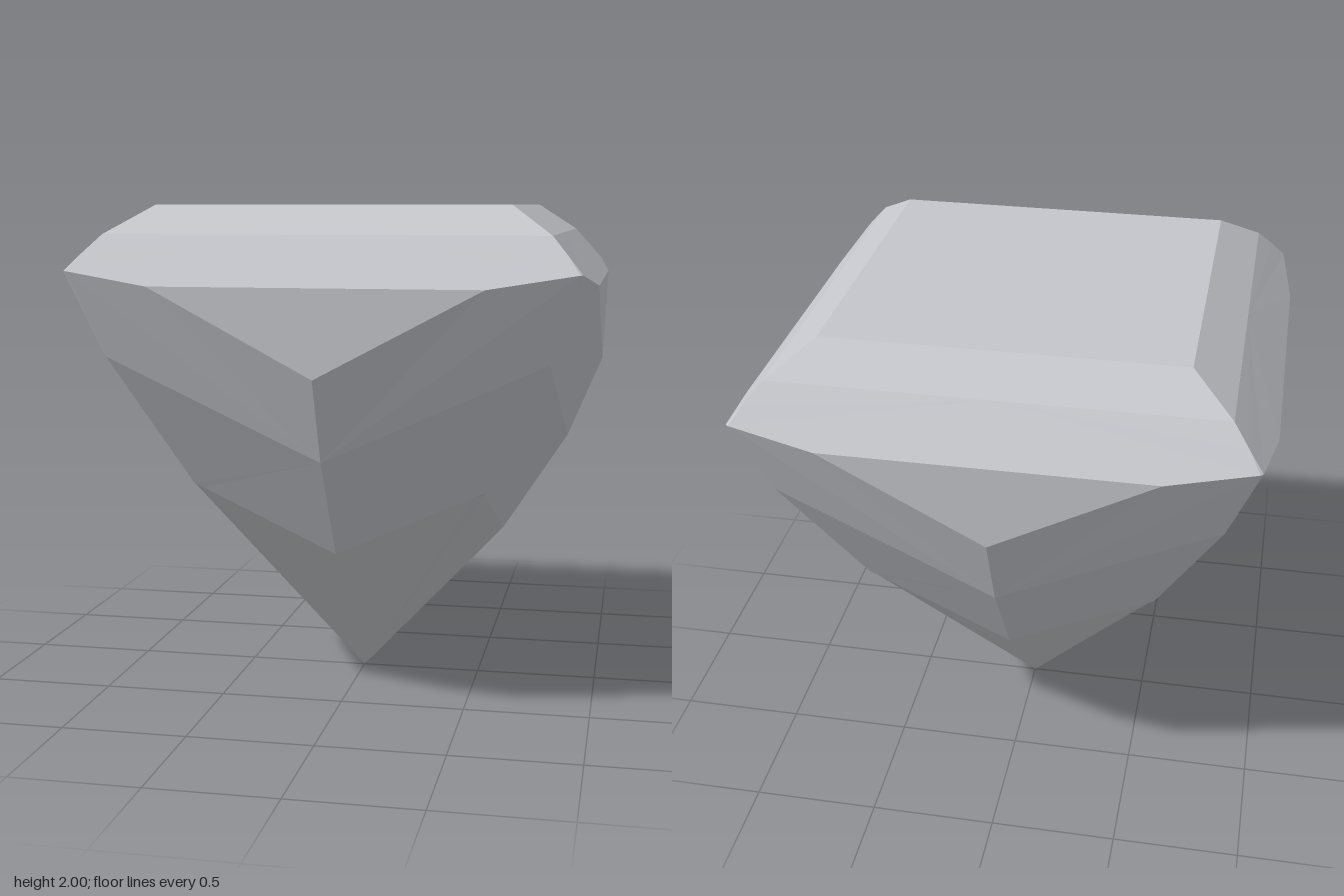
import * as THREE from 'three';

// Corner points of one eighth of the stone (x >= 0, facing +z)
const P = {
  tableCentre: [0, 2, 0], tableMid: [0, 2, 0.68], tableCorner: [0.68, 2, 0.68],
  breakMid: [0, 1.89, 0.84], breakCorner: [0.84, 1.89, 0.84],
  crownTip: [0.9, 1.821, 0.9],
  girdleMid: [0, 1.705, 1], girdle: [0.62, 1.705, 1],
  girdleTip: [0.945, 1.756, 0.955], cornerMid: [0.95, 1.756, 0.95],
  ridge1: [0, 1.375, 1], ridge2: [0, 1.05, 0.865], ridge3: [0, 0.64, 0.6],
  corner2: [0.84, 1.43, 0.84], corner3: [0.58, 0.9, 0.58],
  sliver: [0.545, 0.885, 0.581], sliverMid: [0.563, 0.885, 0.563],
  culet: [0, 0, 0],
};

// Facets as counter-clockwise point names
const PARTS = {
  table: ['tableCentre tableMid tableCorner'],
  crown: [
    'tableMid breakMid breakCorner tableCorner',
    'breakMid girdleMid girdle girdleTip crownTip breakCorner',
    'crownTip girdleTip cornerMid',
  ],
  girdleFacets: ['girdleMid ridge1 girdle'],
  pavilion: [
    'ridge2 corner2 girdleTip girdle ridge1',
    'girdleTip corner2 cornerMid',
    'ridge2 ridge3 sliver corner3 corner2',
    'ridge3 culet sliver',
    'corner3 sliver sliverMid',
    'sliver culet sliverMid',
  ],
};

// Fan each facet, mirror it, and repeat it on all four sides
function facetGeometry(facets) {
  const positions = [];
  for (let side = 0; side < 4; side++) {
    const turn = new THREE.Matrix4().makeRotationY(side * Math.PI / 2);
    for (const mirror of [1, -1]) {
      for (const facet of facets) {
        const pts = facet.split(' ').map((name) => {
          const [x, y, z] = P[name];
          return new THREE.Vector3(x * mirror, y, z).applyMatrix4(turn);
        });
        if (mirror < 0) pts.reverse();
        // keep the fan centre on the same point when mirrored
        if (mirror < 0) pts.unshift(pts.pop());
        for (let i = 1; i < pts.length - 1; i++) {
          for (const p of [pts[0], pts[i], pts[i + 1]]) positions.push(p.x, p.y, p.z);
        }
      }
    }
  }
  const geometry = new THREE.BufferGeometry();
  geometry.setAttribute('position', new THREE.Float32BufferAttribute(positions, 3));
  geometry.computeVertexNormals();
  return geometry;
}

export function createModel() {
  const gem = new THREE.Group();
  gem.name = 'squareCutGem';
  const stone = new THREE.MeshStandardMaterial({ color: 0xc4c6cb });
  stone.name = 'pale grey stone';
  for (const [name, facets] of Object.entries(PARTS)) {
    const mesh = new THREE.Mesh(facetGeometry(facets), stone);
    mesh.name = name;
    gem.add(mesh);
  }
  return gem;
}
